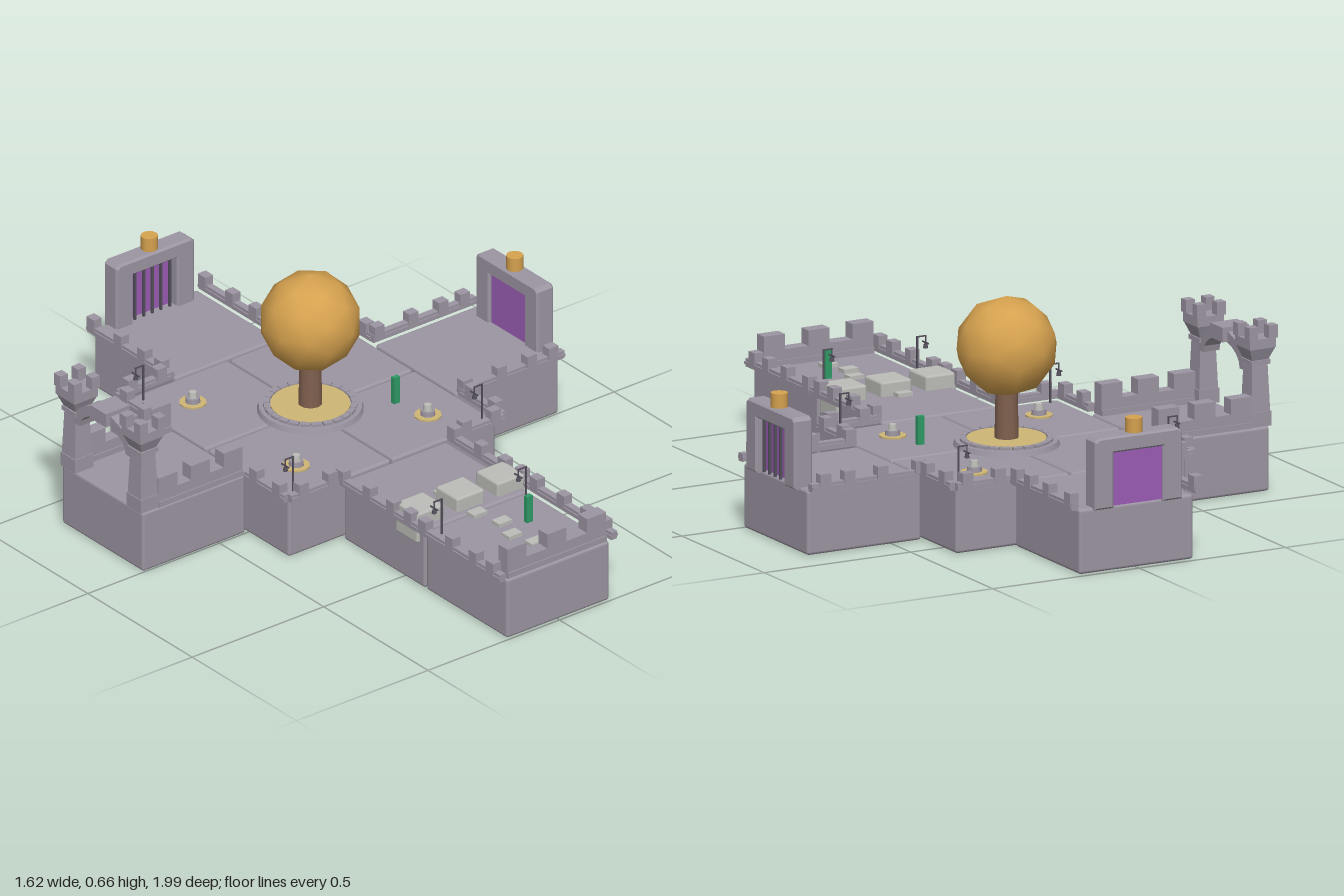
import * as THREE from 'three';
import { RoundedBoxGeometry } from 'three/addons/geometries/RoundedBoxGeometry.js';

const mat = (name, color) => {
  const m = new THREE.MeshStandardMaterial({ color });
  m.name = name;
  return m;
};

export function createModel() {
  const stone = mat('stone', 0x9c95a2);
  const gold = mat('gold', 0xd6a24f);
  const sand = mat('sand', 0xcdb675);
  const purple = mat('purple', 0x9a5cb4);
  const bark = mat('bark', 0x80614f);
  const pale = mat('paleStone', 0xbcbdb8);
  const green = mat('green', 0x2f9a66);
  const iron = mat('iron', 0x55505c);

  const root = new THREE.Group();
  const FLOOR = 0.2, MID = -0.195;

  const group = (name, x = 0, y = 0, z = 0, parent = root) => {
    const g = new THREE.Group();
    g.name = name;
    g.position.set(x, y, z);
    parent.add(g);
    return g;
  };
  const add = (parent, name, geo, material, x = 0, y = 0, z = 0) => {
    const m = new THREE.Mesh(geo, material);
    m.name = name;
    m.position.set(x, y, z);
    parent.add(m);
    return m;
  };
  // Box and cylinder standing on height y
  const box = (parent, name, material, w, h, d, x, y, z) =>
    add(parent, name, new THREE.BoxGeometry(w, h, d), material, x, y + h / 2, z);
  const cyl = (parent, name, material, rTop, rBottom, h, sides, x, y, z) =>
    add(parent, name, new THREE.CylinderGeometry(rTop, rBottom, h, sides), material, x, y + h / 2, z);

  // Floor tiles in a cross
  const tiles = group('floorTiles');
  for (const [x, z] of [[-0.198, MID - 0.198], [0.198, MID - 0.198], [-0.198, MID + 0.198], [0.198, MID + 0.198],
    [-0.595, MID], [0.595, MID], [0, -0.79], [0, 0.405], [0, 0.8]])
    add(tiles, 'tile', new RoundedBoxGeometry(0.39, FLOOR, 0.39, 2, 0.01), stone, x, FLOOR / 2, z);

  // Low battlements overhanging the tile edges
  const LONG = [-0.175, -0.045, 0.068, 0.15], SHORT = [-0.05, 0.06];
  const rail = (x, z, length, alongZ) => {
    const g = group('battlement', x, FLOOR, z);
    if (alongZ) g.rotation.y = -Math.PI / 2;
    box(g, 'rail', stone, length, 0.025, 0.022, 0, 0, 0);
    box(g, 'railLip', stone, length, 0.008, 0.03, 0, 0.008, 0);
    for (const o of length > 0.3 ? LONG : SHORT)
      box(g, 'merlon', stone, 0.036, 0.045, 0.03, o, 0.008, 0);
  };
  for (const s of [-1, 1]) {
    for (const z of [-0.79, 0.405, 0.8]) rail(s * 0.212, z, 0.39, true);
    for (const e of [-1, 1]) {
      rail(s * 0.31, MID + e * 0.41, 0.19, false);
      rail(s * 0.41, MID + e * 0.31, 0.19, true);
    }
    rail(0.595, MID + s * 0.212, 0.39, false);
  }

  // Taller crenellated walls
  const wall = (x, z, length) => {
    const g = group('crenellatedWall', x, FLOOR, z);
    box(g, 'wallBase', stone, length, 0.05, 0.042, 0, 0, 0);
    box(g, 'wallFoot', stone, length, 0.018, 0.05, 0, 0, 0);
    for (const o of [-1, 0, 1])
      box(g, 'merlon', stone, 0.072, 0.047, 0.042, o * (length / 2 - 0.036), 0.05, 0);
  };
  wall(0, 0.966, 0.375);
  for (const s of [-1, 1]) wall(-0.57, MID + s * 0.172, 0.32);

  // Twin towers
  const TX = -0.762;
  for (const s of [-1, 1]) {
    const g = group('tower', TX, FLOOR, MID + s * 0.158);
    box(g, 'towerBase', stone, 0.07, 0.045, 0.07, 0, 0, 0);
    const tapered = (name, rt, rb, h, y) => {
      const m = add(g, name, new THREE.CylinderGeometry(rt * Math.SQRT2, rb * Math.SQRT2, h, 4, 1).rotateY(Math.PI / 4), stone, 0, y + h / 2, 0);
      m.geometry = m.geometry.toNonIndexed();
      m.geometry.computeVertexNormals();
    };
    tapered('shaft', 0.026, 0.032, 0.155, 0.045);
    box(g, 'collar', stone, 0.066, 0.014, 0.066, 0, 0.19, 0);
    tapered('flare', 0.044, 0.028, 0.04, 0.204);
    box(g, 'crown', stone, 0.09, 0.03, 0.09, 0, 0.242, 0);
    for (const a of [-1, 1]) for (const b of [-1, 1])
      box(g, 'crownMerlon', stone, 0.03, 0.04, 0.03, a * 0.034, 0.272, b * 0.034);
  }

  // Arch joining the towers
  const arch = new THREE.Shape();
  arch.absellipse(0, 0, 0.142, 0.1, 0, Math.PI, false);
  arch.lineTo(-0.11, 0);
  arch.absellipse(0, 0, 0.11, 0.066, Math.PI, 0, true);
  const archGeo = new THREE.ExtrudeGeometry(arch, { depth: 0.055, bevelEnabled: false, curveSegments: 5 });
  archGeo.translate(0, 0, -0.0275).rotateY(Math.PI / 2);
  add(root, 'arch', archGeo, stone, TX, 0.365, MID);
  box(root, 'keystone', stone, 0.09, 0.045, 0.075, TX, 0.43, MID);

  // Barred gates, bars facing local +z
  const gate = (x, z, turn) => {
    const g = group('gate', x, FLOOR, z);
    g.rotation.y = turn;
    const frame = new THREE.Shape([[-0.143, 0], [-0.143, 0.2], [-0.133, 0.208], [0.133, 0.208], [0.143, 0.2], [0.143, 0],
      [0.09, 0], [0.09, 0.17], [-0.09, 0.17], [-0.09, 0]].map(p => new THREE.Vector2(...p)));
    const geo = new THREE.ExtrudeGeometry(frame, { depth: 0.05, bevelThickness: 0.007, bevelSize: 0.006, bevelSegments: 1 });
    add(g, 'gateFrame', geo.translate(0, 0, -0.025), stone);
    box(g, 'gatePanel', purple, 0.18, 0.172, 0.02, 0, 0, -0.012);
    for (let i = -2; i <= 2; i++) box(g, 'gateBar', iron, 0.007, 0.17, 0.008, i * 0.033, 0, 0.014);
    cyl(g, 'gateBeacon', gold, 0.026, 0.026, 0.045, 12, 0, 0.213, 0);
  };
  gate(0, -0.967, 0);
  gate(0.777, MID, Math.PI / 2);

  // Golden tree on a round plinth
  const tree = group('tree', 0, FLOOR, MID);
  cyl(tree, 'plinth', stone, 0.155, 0.16, 0.016, 24, 0, 0, 0);
  cyl(tree, 'plinthBed', sand, 0.12, 0.12, 0.008, 24, 0, 0.014, 0);
  for (let i = 0; i < 24; i++) {
    const a = i / 24 * Math.PI * 2;
    const b = box(tree, 'rimStone', stone, 0.03, 0.01, 0.018, Math.cos(a) * 0.131, 0.014, Math.sin(a) * 0.131);
    b.rotation.y = Math.PI / 2 - a;
  }
  cyl(tree, 'trunk', bark, 0.033, 0.037, 0.2, 10, 0, 0.01, 0);
  const crown = add(tree, 'treeCrown', new THREE.IcosahedronGeometry(0.154, 1), gold, 0, 0.302, 0);
  crown.rotation.y = 0.3;

  // Small bollards on sand rings
  for (const x of [-0.25, 0.25]) for (const z of [MID - 0.248, MID + 0.248]) {
    const g = group('bollard', x, FLOOR, z);
    cyl(g, 'sandRing', sand, 0.042, 0.042, 0.005, 10, 0, 0, 0);
    cyl(g, 'bollardBase', stone, 0.022, 0.024, 0.02, 10, 0, 0, 0);
    cyl(g, 'bollardCap', pale, 0.012, 0.015, 0.018, 8, 0, 0.02, 0);
  }

  // Blocks across the front arm, and stepping stones
  for (const x of [-0.153, 0, 0.153])
    add(root, 'paleBlock', new RoundedBoxGeometry(0.106, 0.1, 0.106, 1, 0.008), pale, x, 0.195, 0.524);
  [0.46, 0.622, 0.71, 0.79, 0.868].forEach((z, i) =>
    box(root, 'steppingStone', pale, 0.05, 0.012, 0.036, i === 2 || i === 4 ? 0.011 : -0.014, FLOOR, z));

  // Green posts
  box(root, 'greenPost', green, 0.022, 0.088, 0.015, 0.225, FLOOR, -0.07);
  box(root, 'greenPost', green, 0.022, 0.088, 0.015, 0.08, FLOOR, 0.75);

  // Hanging lanterns
  for (const [x, z] of [[-0.37, -0.548], [-0.37, 0.17], [0.348, -0.548], [0.348, 0.17], [-0.185, 0.65], [0.135, 0.65]]) {
    const g = group('lantern', x, FLOOR, z);
    box(g, 'lanternPole', iron, 0.005, 0.12, 0.005, 0.015, 0, 0);
    box(g, 'lanternArm', iron, 0.032, 0.004, 0.004, 0, 0.116, 0);
    box(g, 'lanternHook', iron, 0.003, 0.025, 0.003, -0.014, 0.092, 0);
    cyl(g, 'lanternLamp', iron, 0.005, 0.008, 0.014, 6, -0.014, 0.08, 0);
    box(g, 'lanternBrace', iron, 0.004, 0.004, 0.036, -0.014, 0.095, 0);
  }

  return root;
}
